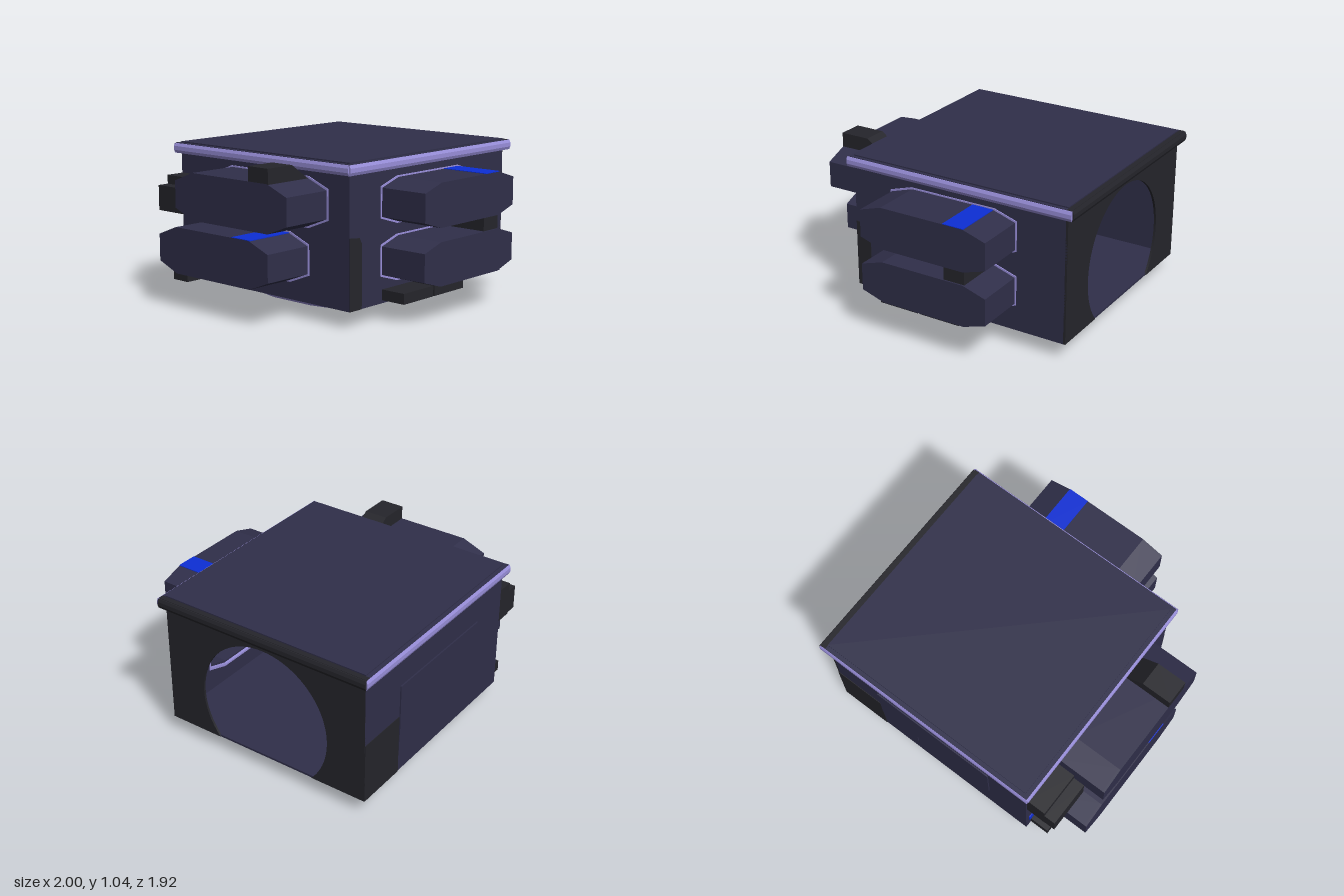
import * as THREE from 'three';

const mat = (name, color) => Object.assign(new THREE.MeshStandardMaterial({ color }), { name });

export function createModel() {
  const navy = mat('navy', 0x302f4a), dark = mat('charcoal', 0x25252b);
  const lilac = mat('lilac', 0x9a90dc), blue = mat('blue', 0x0d2fd6);
  const root = new THREE.Group();
  root.name = 'module';
  const T = 0.015; // shell thickness

  const add = (parent, name, geo, material) => {
    const m = new THREE.Mesh(geo, material);
    m.name = name;
    parent.add(m);
    return m;
  };
  // Box given by its two corners
  const box = (parent, name, material, x0, x1, y0, y1, z0, z1) => {
    const m = add(parent, name, new THREE.BoxGeometry(x1 - x0, y1 - y0, z1 - z0), material);
    m.position.set((x0 + x1) / 2, (y0 + y1) / 2, (z0 + z1) / 2);
    return m;
  };
  // Octagon with stretched corner cuts
  const octagon = ([u0, u1, v0, v1], du, dv, inset = 0) => {
    u0 += inset; u1 -= inset; v0 += inset; v1 -= inset;
    return [[u0 + du, v0], [u1 - du, v0], [u1, v0 + dv], [u1, v1 - dv],
      [u1 - du, v1], [u0 + du, v1], [u0, v1 - dv], [u0, v0 + dv]].map(p => new THREE.Vector2(...p));
  };
  const extrude = (outline, holes, depth) => {
    const s = new THREE.Shape(outline);
    holes.forEach(h => s.holes.push(new THREE.Path(h)));
    return new THREE.ExtrudeGeometry(s, { depth, bevelEnabled: false, curveSegments: 48 });
  };
  const rect = (u0, u1, v0, v1) => [[u0, v0], [u1, v0], [u1, v1], [u0, v1]].map(p => new THREE.Vector2(...p));

  // A side group: local x runs along the wall, local z points outward from its surface
  const side = (name, x, z, angle) => {
    const g = new THREE.Group();
    g.name = name;
    g.position.set(x, 0, z);
    g.rotation.y = angle;
    root.add(g);
    return g;
  };
  const front = side('frontSide', 0, 0.61, 0);
  const right = side('rightSide', -0.64, 0, -Math.PI / 2);
  const left = side('leftSide', 0.95, 0, Math.PI / 2);
  const back = side('backSide', 0, -0.92, Math.PI);

  // Walls with hollow octagonal pods framed in lilac
  const podWall = (g, u0, u1, pods, du, dv, depth) => {
    const wall = add(g, 'wall', extrude(rect(u0, u1, 0.11, 0.97), pods.map(p => octagon(p, du, dv, 0.006)), T), navy);
    wall.position.z = -T;
    for (const p of pods) {
      const outer = octagon(p, du, dv, 0.01);
      add(g, 'podShell', extrude(outer, [octagon(p, du, dv, 0.025)], depth - T), navy);
      add(g, 'podCap', extrude(outer, [], T), navy).position.z = depth - T;
      add(g, 'podFrame', extrude(octagon(p, du, dv), [octagon(p, du, dv, 0.013)], 0.026), lilac).position.z = -0.02;
    }
  };
  podWall(front, -0.64, 0.95, [[-0.35, 0.595, 0.61, 0.915], [-0.35, 0.595, 0.237, 0.54]], 0.16, 0.05, 0.35);
  podWall(right, -0.92, 0.61, [[-0.59, 0.435, 0.598, 0.928], [-0.757, 0.27, 0.225, 0.555]], 0.165, 0.065, 0.36);

  // Blue bands on pod tops, outside and inside
  const band = (g, u0, u1, top, depth) => {
    box(g, 'podBand', blue, u0, u1, top - 0.001, top + 0.004, 0.01, depth);
    box(g, 'podBandInside', blue, u0, u1, top - 0.019, top - 0.014, 0.01, depth - 0.02);
  };
  band(front, 0.28, 0.43, 0.905, 0.35);
  band(right, -0.06, 0.105, 0.545, 0.36);

  // Front fittings
  box(front, 'podConnector', dark, 0.28, 0.43, 0.515, 0.62, 0, 0.34);
  box(front, 'lowerStep', dark, -0.33, -0.035, 0.13, 0.2, 0, 0.18);
  box(front, 'lowerStep', dark, -0.022, 0.28, 0.13, 0.2, 0, 0.18);
  add(front, 'cornerPatch', new THREE.ExtrudeGeometry(new THREE.Shape([[-0.64, 0.11], [-0.53, 0.11], [-0.53, 0.53],
    [-0.55, 0.565], [-0.64, 0.575]].map(p => new THREE.Vector2(...p))), { depth: 0.004, bevelEnabled: false }), dark);

  // Right side fittings: wedge on the upper pod, equipment boxes by the rear corner
  const wedge = new THREE.Shape([[-1, 0.91], [-0.64, 0.91], [-0.68, 0.935], [-0.79, 1.013], [-1, 1.013]]
    .map(p => new THREE.Vector2(...p)));
  add(root, 'podWedge', new THREE.ExtrudeGeometry(wedge, { depth: 0.17, bevelEnabled: false }), dark).position.z = 0.1;
  box(root, 'equipmentBox', dark, -0.78, -0.64, 0.59, 0.83, -0.91, -0.6);
  box(root, 'equipmentBoxFace', dark, -0.86, -0.78, 0.6, 0.77, -0.91, -0.6);
  box(root, 'lowerBox', dark, -0.78, -0.64, 0.115, 0.19, -0.87, -0.73);
  box(root, 'bluePlate', blue, -0.648, -0.64, 0.23, 0.31, -0.89, -0.83);

  // Left wall with the large round opening cut off by the floor
  const cu = 0.155, cv = 0.43, r = 0.487, a = Math.asin(0.32 / r), du = r * Math.cos(a);
  const arch = new THREE.Shape();
  arch.moveTo(-0.61, 0.11);
  arch.lineTo(cu - du, 0.11);
  arch.absarc(cu, cv, r, Math.PI + a, -a, true);
  arch.lineTo(0.92, 0.11);
  arch.lineTo(0.92, 0.97);
  arch.lineTo(-0.61, 0.97);
  add(left, 'archWall', new THREE.ExtrudeGeometry(arch, { depth: T, bevelEnabled: false, curveSegments: 64 }), dark)
    .position.z = -T + 0.001;

  // Back wall with its raised panels
  box(back, 'wall', navy, -0.95, 0.64, 0.11, 0.97, -T, 0);
  box(back, 'rearPanel', navy, -0.575, 0.335, 0.39, 0.755, 0, 0.009);
  box(back, 'rearTab', navy, -0.575, -0.28, 0.27, 0.39, 0, 0.005);
  box(back, 'cornerPatch', dark, -0.95, -0.58, 0.11, 0.53, 0, 0.004);

  // Floor and roof
  box(root, 'floor', navy, -0.635, 0.945, 0.108, 0.122, -0.915, 0.605);
  box(root, 'roof', navy, -0.64, 0.95, 0.962, 1.044, -0.92, 0.61);
  box(root, 'roofRim', navy, -0.668, 0.95, 0.967, 1.036, -0.948, 0.635);
  box(root, 'roofRimLeft', dark, 0.95, 0.985, 0.967, 1.036, -0.948, 0.635);

  // Faceted roof trim on each side
  const trim = (g, u0, u1, out, material) => {
    const geo = new THREE.CylinderGeometry(0.036, 0.036, u1 - u0, 8).toNonIndexed();
    geo.rotateY(Math.PI / 8).rotateZ(Math.PI / 2).scale(1, 1, 0.45);
    geo.computeVertexNormals();
    add(g, 'roofTrim', geo, material).position.set((u0 + u1) / 2, 1.0, out);
  };
  trim(front, -0.675, 0.99, 0.024, lilac);
  trim(back, -0.99, 0.675, 0.024, lilac);
  trim(right, -0.95, 0.635, 0.026, lilac);
  trim(left, -0.635, 0.95, 0.036, dark);

  // Base ring: a squarish outline swept through a bevelled profile
  const quarter = [[1, 0.4], [0.92, 0.78], [0.78, 0.92], [0.4, 1]];
  const loop = [0, 1, 2, 3].flatMap(q => quarter.map(([x, z]) =>
    [[x, z], [-z, x], [-x, -z], [z, -x]][q]));
  const profile = [[0.49, 0.112], [0.53, 0.08], [0.53, 0.03], [0.48, 0], [0.435, 0], [0.4, 0.03], [0.4, 0.112]];
  const pos = [];
  const point = (i, j) => {
    const [x, z] = loop[i % loop.length], [s, y] = profile[j];
    return [x * s, y, z * (s - 0.055)];
  };
  for (let i = 0; i < loop.length; i++) {
    for (let j = 0; j < profile.length - 1; j++) {
      const p = point(i, j), q = point(i + 1, j), t = point(i + 1, j + 1), u = point(i, j + 1);
      pos.push(...p, ...q, ...t, ...p, ...t, ...u);
    }
  }
  const ringGeo = new THREE.BufferGeometry();
  ringGeo.setAttribute('position', new THREE.Float32BufferAttribute(pos, 3));
  ringGeo.computeVertexNormals();
  lilac.side = THREE.DoubleSide;
  // Outline runs counter to the outward winding, so flip it by mirroring the corner order
  for (let k = 0; k < pos.length; k += 9) {
    const n = ringGeo.attributes.position;
    const b = [n.getX(k / 3 + 1), n.getY(k / 3 + 1), n.getZ(k / 3 + 1)];
    n.setXYZ(k / 3 + 1, n.getX(k / 3 + 2), n.getY(k / 3 + 2), n.getZ(k / 3 + 2));
    n.setXYZ(k / 3 + 2, ...b);
  }
  ringGeo.computeVertexNormals();
  add(root, 'baseRing', ringGeo, lilac).position.set(0.12, 0, -0.155);

  return root;
}
